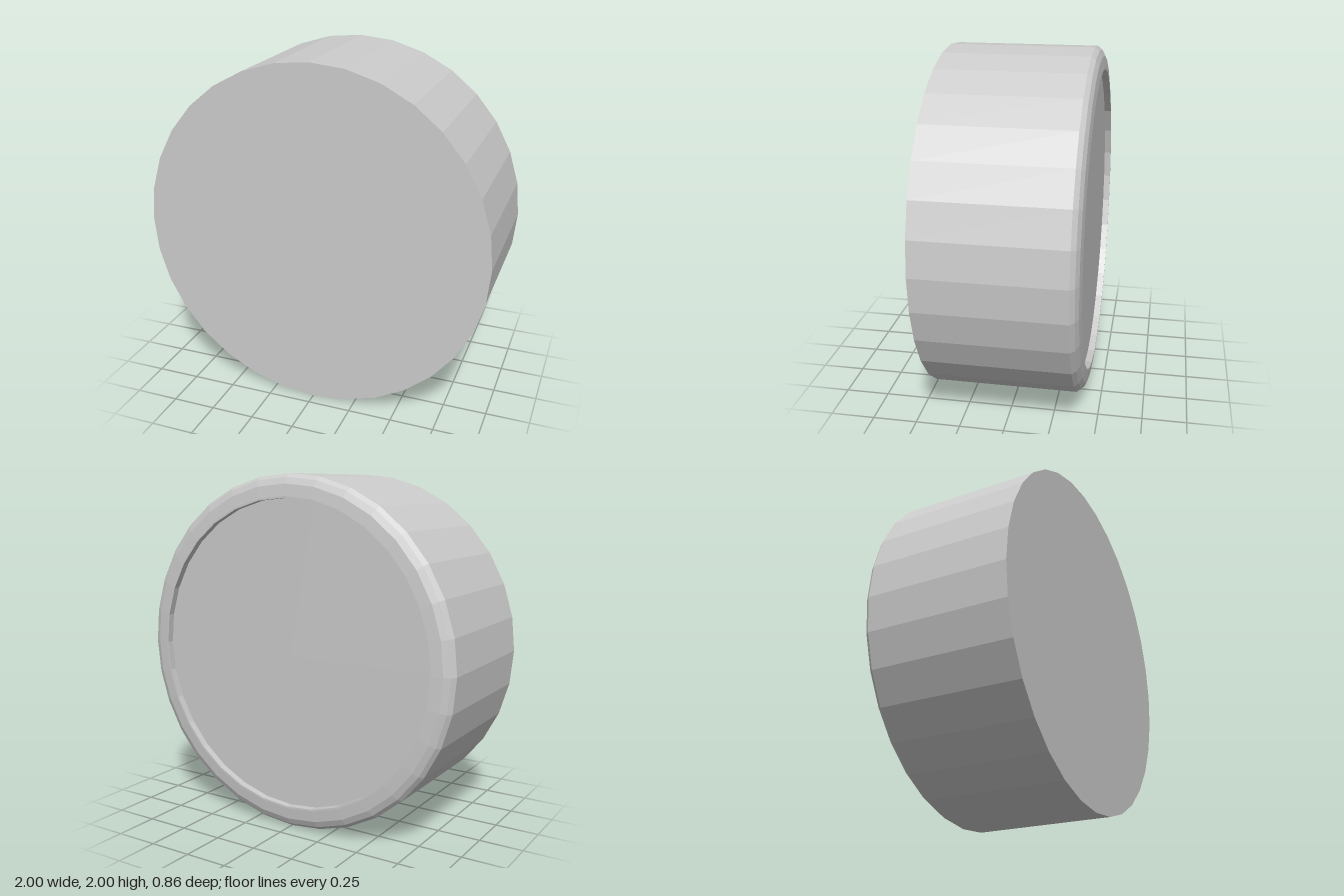
import * as THREE from 'three';

const SIDES = 32;

// Turned part along the z axis; each profile point is [radius, distance towards the back]
function turned(name, profile, material) {
  const points = profile.map(([r, d]) => new THREE.Vector2(r, d));
  const geometry = new THREE.LatheGeometry(points, SIDES);
  geometry.rotateX(-Math.PI / 2);
  const mesh = new THREE.Mesh(geometry, material);
  mesh.name = name;
  mesh.position.y = 1;
  return mesh;
}

export function createModel() {
  const group = new THREE.Group();
  group.name = 'drum';
  const material = new THREE.MeshStandardMaterial({ color: 0xcccccc, flatShading: true });

  // Flat front face and straight side wall
  group.add(turned('frontFace', [[0, -0.43], [1, -0.43]], material));
  group.add(turned('sideWall', [[1, -0.43], [1, 0.38]], material));

  // Rounded rim at the back, ending at the lip of the recess
  group.add(turned('backRim', [[1, 0.38], [0.98, 0.405], [0.945, 0.422], [0.88, 0.43], [0.87, 0.43]], material));

  // Shallow recess with a flat floor
  group.add(turned('backRecess', [[0.87, 0.43], [0.87, 0.39], [0, 0.39]], material));
  return group;
}
